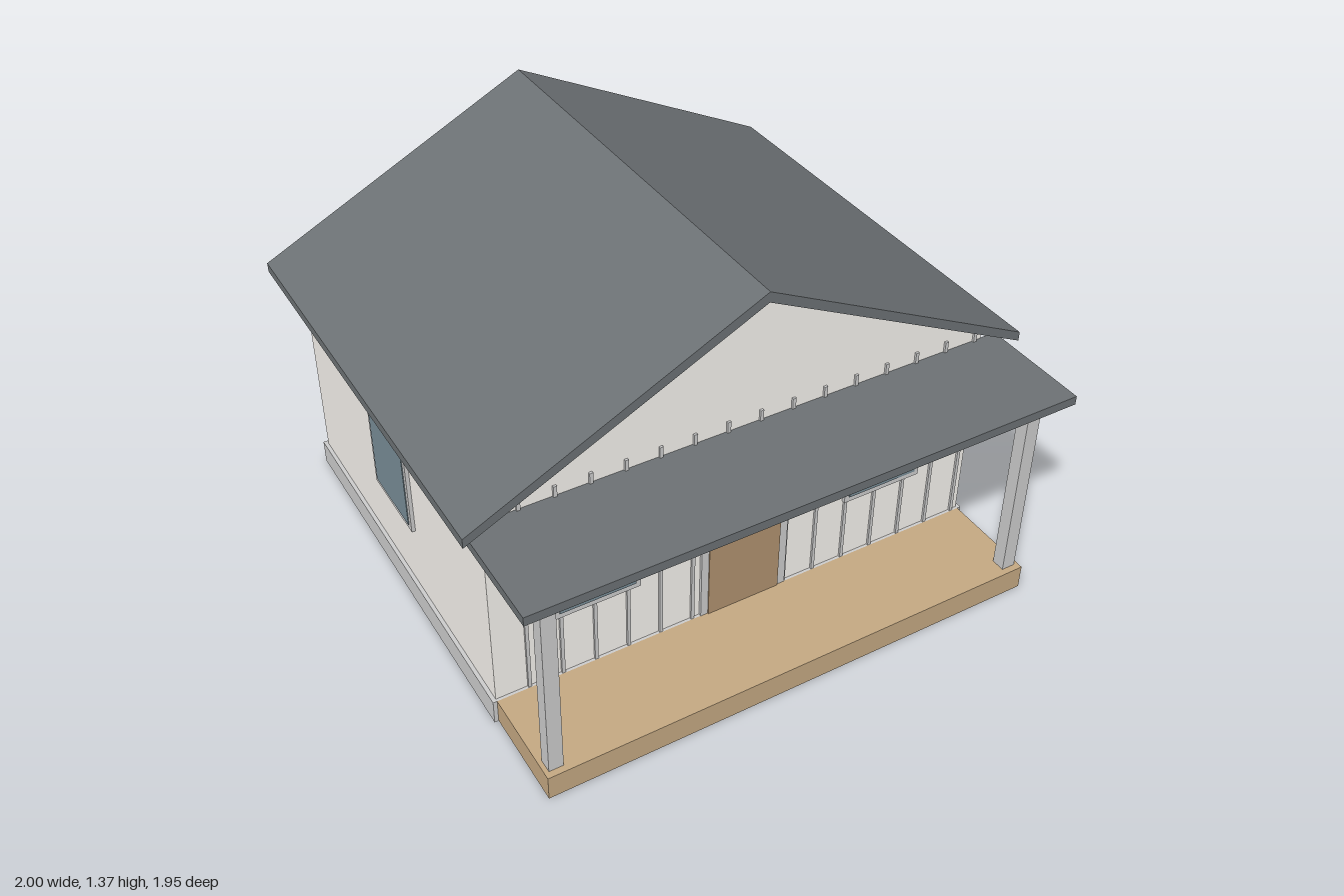
import * as THREE from 'three';

const mat = (color) => new THREE.MeshStandardMaterial({ color });
const M = {
  trim: mat(0xcccccc), wall: mat(0xf6f3ee), roof: mat(0x6c7174),
  deck: mat(0xc4a882), door: mat(0xb0926f), glass: mat(0x788c96),
};

// Box given by its min/max on each axis
function box(name, material, [x0, x1], [y0, y1], [z0, z1]) {
  const m = new THREE.Mesh(new THREE.BoxGeometry(x1 - x0, y1 - y0, z1 - z0), material);
  m.position.set((x0 + x1) / 2, (y0 + y1) / 2, (z0 + z1) / 2);
  m.name = name;
  return m;
}

// Outline in x/y, extruded from z0 to z1
function prism(name, material, points, z0, z1, hole) {
  const shape = new THREE.Shape(points.map(([x, y]) => new THREE.Vector2(x, y)));
  if (hole) shape.holes.push(new THREE.Path(hole.map(([x, y]) => new THREE.Vector2(x, y))));
  const geo = new THREE.ExtrudeGeometry(shape, { depth: z1 - z0, bevelEnabled: false });
  const m = new THREE.Mesh(geo, material);
  m.position.z = z0;
  m.name = name;
  return m;
}

const rect = (w, h) => [[-w, -h], [w, -h], [w, h], [-w, h]];

// Framed window facing +z, centred on its own origin
function makeWindow(name, x, z, turn) {
  const g = new THREE.Group();
  g.name = name;
  g.add(prism('windowFrame', M.trim, rect(0.153, 0.198), -0.01, 0.013, rect(0.133, 0.177)));
  g.add(box('windowGlass', M.glass, [-0.135, 0.135], [-0.178, 0.178], [-0.01, 0.016]));
  g.position.set(x, 0.54, z);
  g.rotation.y = turn;
  return g;
}

export function createModel() {
  const house = new THREE.Group();
  house.name = 'house';
  const W = 0.908, front = 0.575, back = -0.885, floor = 0.09;

  // Base and porch deck
  house.add(box('foundation', M.trim, [-0.922, 0.922], [0, floor], [-0.9, 0.585]));
  house.add(box('porchDeck', M.deck, [-W, W], [0, floor], [0.585, 0.935]));

  // Walls with gables
  house.add(prism('walls', M.wall,
    [[-W, floor], [W, floor], [W, 0.87], [0, 1.32], [-W, 0.87]], back, front));

  // Main gable roof with overhang
  house.add(prism('mainRoof', M.roof,
    [[-1, 0.838], [0, 1.33], [1, 0.838], [1, 0.872], [0, 1.367], [-1, 0.872]], -0.975, 0.657));

  // Porch roof and posts
  house.add(box('porchRoof', M.roof, [-0.97, 0.97], [0.798, 0.83], [0.573, 0.975]));
  for (const s of [-1, 1]) {
    const x = s * 0.868;
    house.add(box(s > 0 ? 'leftPost' : 'rightPost', M.trim,
      [x - 0.025, x + 0.025], [floor, 0.798], [0.863, 0.912]));
  }

  // Vertical battens on the front wall
  const battens = new THREE.Group();
  battens.name = 'battens';
  for (let i = 1; i <= 15; i++) {
    const x = -0.91 + i * 0.1193;
    battens.add(box('batten', M.trim, [x - 0.006, x + 0.006], [floor, 0.87], [front - 0.005, front + 0.008]));
  }
  house.add(battens);

  // Front door with surround
  house.add(box('doorFrame', M.trim, [-0.165, 0.165], [floor, 0.748], [front - 0.01, front + 0.011]));
  house.add(box('door', M.door, [-0.138, 0.135], [floor, 0.72], [front - 0.01, front + 0.015]));

  // Windows: two in front, one on each other wall
  const mid = (front + back) / 2;
  house.add(makeWindow('frontLeftWindow', 0.545, front, 0));
  house.add(makeWindow('frontRightWindow', -0.545, front, 0));
  house.add(makeWindow('leftWindow', W, mid, Math.PI / 2));
  house.add(makeWindow('rightWindow', -W, mid, -Math.PI / 2));
  house.add(makeWindow('backWindow', 0, back, Math.PI));
  return house;
}
